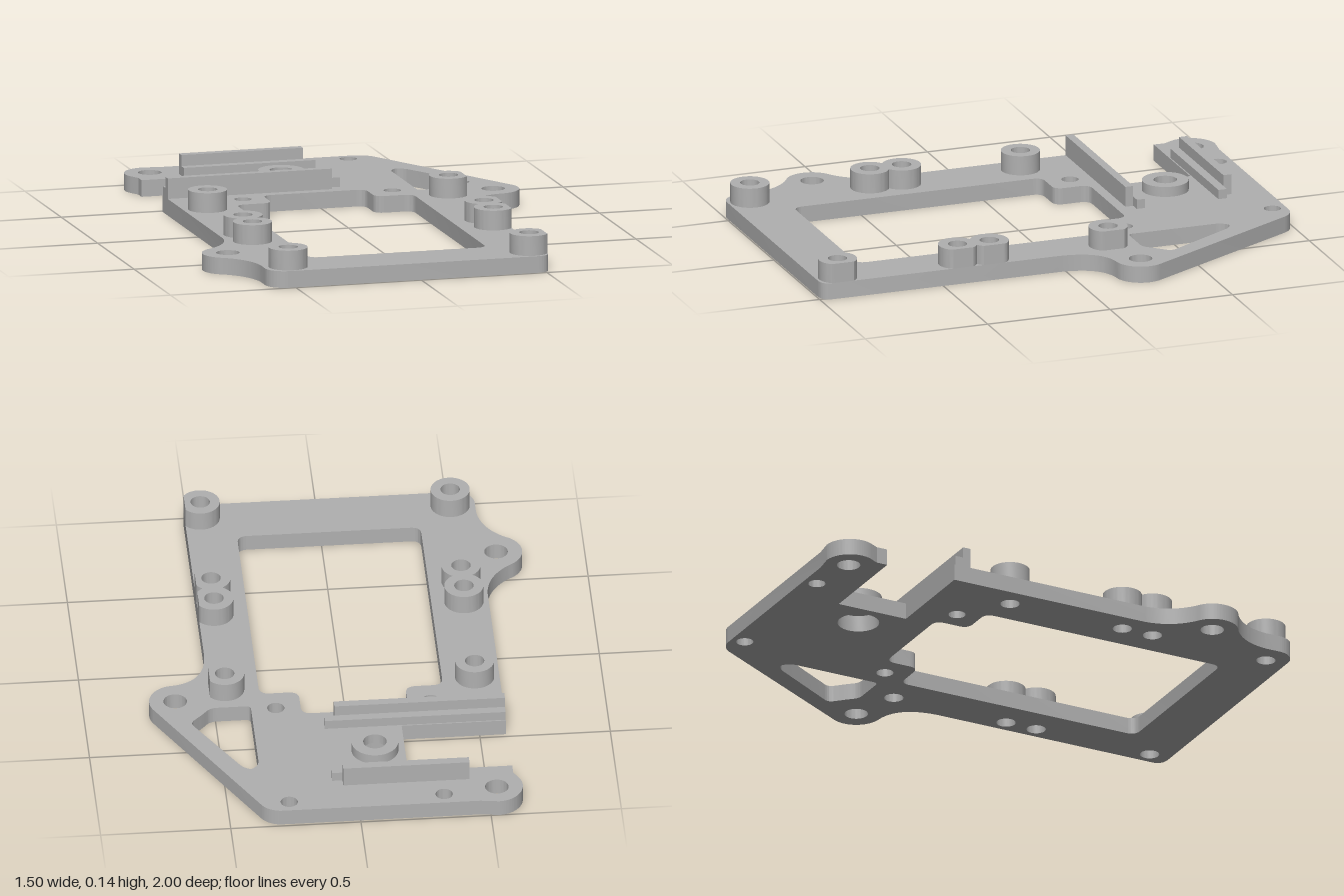
import * as THREE from 'three';
import { toCreasedNormals } from 'three/addons/utils/BufferGeometryUtils.js';

const PI = Math.PI;
const PLATE = 0.065, BOSS = 0.142, EDGE = 0.515;

export function createModel() {
  const model = new THREE.Group();
  model.name = 'mountingPlate';
  const grey = new THREE.MeshStandardMaterial({ color: 0xb0b0b0 });
  grey.name = 'grey';

  // Shapes are drawn in plan as (x, z) and extruded between two heights
  function slab(name, shape, y0, y1) {
    let g = new THREE.ExtrudeGeometry(shape, { depth: y1 - y0, bevelEnabled: false, curveSegments: 20 });
    g.rotateX(PI / 2).translate(0, y1, 0);
    g = toCreasedNormals(g, 0.5);
    const mesh = new THREE.Mesh(g, grey);
    mesh.name = name;
    model.add(mesh);
  }
  const circle = (x, z, r) => new THREE.Path().absarc(x, z, r, 0, 2 * PI, false);

  // Closed polygon with softened corners; each corner is [x, z, cut]
  function rounded(pts) {
    const path = new THREE.Path();
    const n = pts.length;
    const toward = (p, q) => {
      const d = Math.hypot(q[0] - p[0], q[1] - p[1]);
      return [p[0] + (q[0] - p[0]) * p[2] / d, p[1] + (q[1] - p[1]) * p[2] / d];
    };
    pts.forEach((p, i) => {
      const a = toward(p, pts[(i + n - 1) % n]);
      const b = toward(p, pts[(i + 1) % n]);
      if (i === 0) path.moveTo(...a); else path.lineTo(...a);
      path.quadraticCurveTo(p[0], p[1], ...b);
    });
    path.closePath();
    return path;
  }

  // Base plate outline with three screw ears and a side slot
  const plate = new THREE.Shape();
  plate.moveTo(-0.6, -0.775);
  plate.lineTo(-0.6, -0.82);
  plate.absarc(-0.53, -0.9, 0.1, 2.65, 1.5 * PI, false);
  plate.lineTo(-0.46, -0.99);
  plate.absarc(0.3, -0.9, 0.09, -PI / 2, -0.51, false);
  plate.absarc(0.65, -0.255, 0.1, -0.51, 1.45, false);
  plate.quadraticCurveTo(0.52, -0.145, EDGE, 0.03);
  plate.lineTo(EDGE, 0.965);
  plate.quadraticCurveTo(0.505, 0.995, 0.465, 0.995);
  plate.lineTo(-0.53, 0.995);
  plate.absarc(-0.525, 0.92, 0.075, PI / 2, PI, false);
  plate.lineTo(-0.6, 0.86);
  plate.quadraticCurveTo(-0.61, 0.75, -0.7, 0.689);
  plate.absarc(-0.655, 0.6, 0.1, 2.04, 2 * PI - 2.04, false);
  plate.quadraticCurveTo(-0.61, 0.45, -0.6, 0.34);
  plate.lineTo(-0.6, -0.485);
  plate.lineTo(-0.2, -0.485);
  plate.lineTo(-0.2, -0.775);
  plate.closePath();

  // Central window and triangular cut-out
  plate.holes.push(rounded([
    [-0.38, -0.235, 0.04], [-0.235, -0.235, 0.04], [-0.235, -0.375, 0.04], [0.175, -0.375, 0.04],
    [0.175, -0.235, 0.04], [0.325, -0.235, 0.04], [0.325, 0.78, 0.04], [-0.38, 0.78, 0.04],
  ]));
  plate.holes.push(rounded([
    [0.365, -0.31, 0.02], [0.365, -0.7, 0.04], [0.4, -0.715, 0.015], [0.43, -0.695, 0.015],
    [0.605, -0.4, 0.025], [0.55, -0.345, 0.02], [0.52, -0.31, 0.025],
  ]));

  // Screw holes in the ears, small holes and the wide bore under the centre ring
  for (const [x, z] of [[-0.53, -0.905], [0.65, -0.255], [-0.655, 0.6]]) plate.holes.push(circle(x, z, 0.045));
  for (const x of [-0.325, 0.27]) for (const z of [-0.935, -0.33]) plate.holes.push(circle(x, z, 0.033));
  plate.holes.push(circle(-0.085, -0.63, 0.08));

  // Standoffs, single or merged pairs, trimmed flush with the plate edge
  const R = 0.075, groups = [[-0.195], [0.29, 0.42], [0.91]];
  for (const [side, x] of [['right', -0.505], ['left', 0.455]]) {
    groups.forEach((zs, k) => {
      const a = zs.length > 1 ? Math.acos((zs[1] - zs[0]) / 2 / R) : 0;
      const pts = [];
      zs.forEach((z, j) => {
        const start = j === 0 ? PI / 2 + a : -PI / 2 + a;
        for (let i = 0; i <= 48; i++) {
          const t = start + (2 * PI - 2 * a) * i / 48;
          pts.push(new THREE.Vector2(Math.min(EDGE, x + R * Math.cos(t)), z + R * Math.sin(t)));
        }
      });
      if (zs.length === 1) pts.pop();
      const boss = new THREE.Shape(pts);
      for (const z of zs) {
        boss.holes.push(circle(x, z, 0.037));
        plate.holes.push(circle(x, z, 0.037));
      }
      slab(side + 'Standoff' + (k + 1), boss, PLATE, BOSS);
    });
  }
  slab('basePlate', plate, 0, PLATE);

  // Low ring beside the slot
  const ring = new THREE.Shape().absarc(-0.085, -0.63, 0.09, 0, 2 * PI, false);
  ring.holes.push(circle(-0.085, -0.63, 0.045));
  slab('centreRing', ring, PLATE, 0.105);

  // Guide rails: a tall wall with a low step facing the slot
  function bar(name, x0, x1, z0, z1, top) {
    const mesh = new THREE.Mesh(new THREE.BoxGeometry(x1 - x0, top - PLATE, z1 - z0), grey);
    mesh.position.set((x0 + x1) / 2, (top + PLATE) / 2, (z0 + z1) / 2);
    mesh.name = name;
    model.add(mesh);
  }
  bar('rearRailWall', -0.43, 0.055, -0.848, -0.815, 0.145);
  bar('rearRailStep', -0.43, 0.095, -0.815, -0.78, 0.102);
  bar('frontRailWall', -0.6, 0.055, -0.447, -0.415, 0.145);
  bar('frontRailStep', -0.6, 0.095, -0.48, -0.447, 0.102);

  return model;
}
